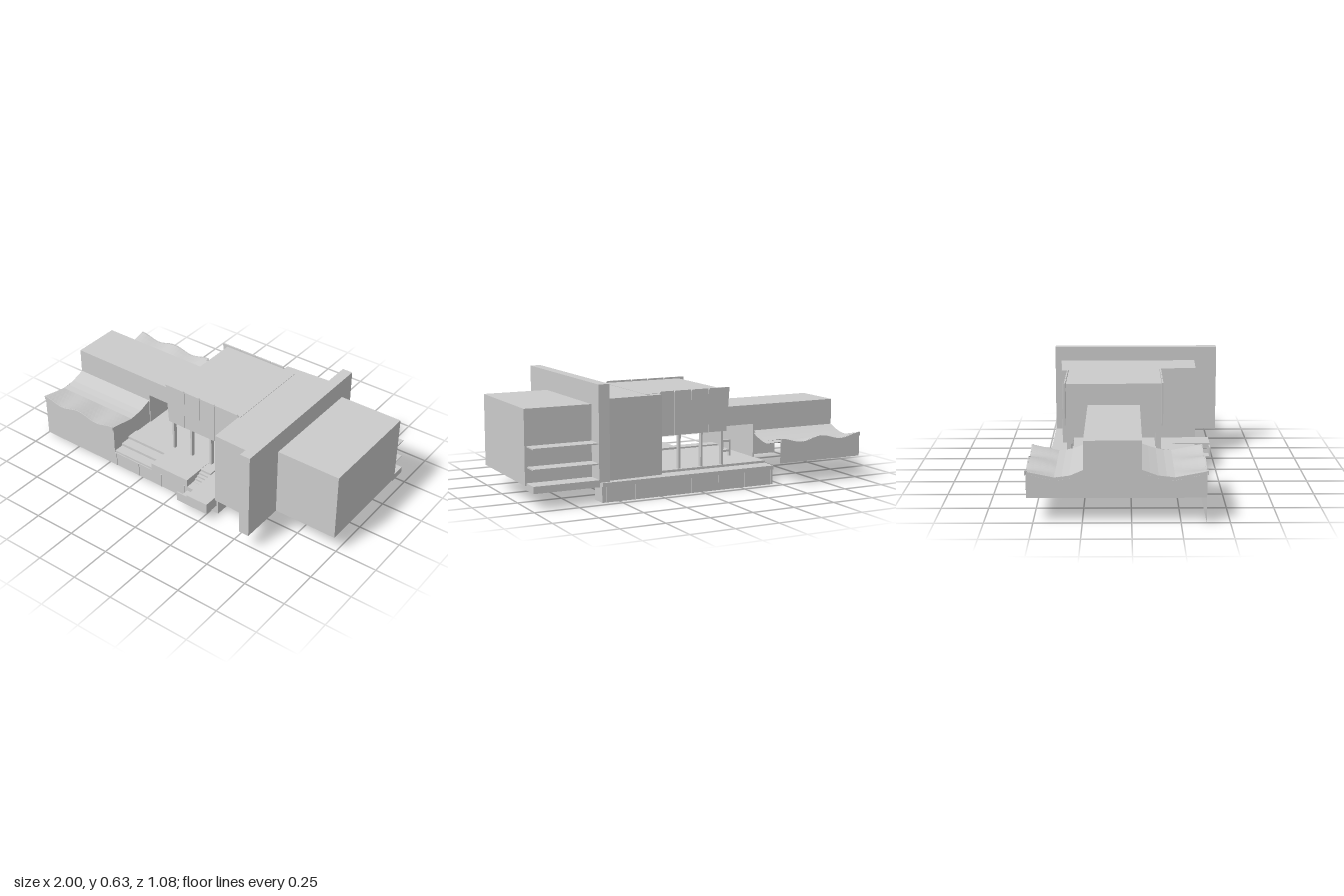
import * as THREE from 'three';

const mat = new THREE.MeshStandardMaterial({ color: 0xcccccc, flatShading: true, side: THREE.DoubleSide });

export function createModel() {
  const model = new THREE.Group();
  const add = (name, geo) => {
    const mesh = new THREE.Mesh(geo, mat);
    mesh.name = name;
    model.add(mesh);
    return mesh;
  };
  // Box given by its lower and upper limits on each axis
  const box = (name, x0, x1, y0, y1, z0, z1) => {
    const mesh = add(name, new THREE.BoxGeometry(x1 - x0, y1 - y0, z1 - z0));
    mesh.position.set((x0 + x1) / 2, (y0 + y1) / 2, (z0 + z1) / 2);
    return mesh;
  };
  // Box without its underside
  const shell = (name, ...limits) => {
    const mesh = box(name, ...limits);
    const index = Array.from(mesh.geometry.index.array);
    index.splice(18, 6);
    mesh.geometry.setIndex(index);
  };
  // Plan outline of [x, z] points raised from y0 to y1
  const raise = (name, points, y0, y1) => {
    const shape = new THREE.Shape(points.map(([x, z]) => new THREE.Vector2(x, -z)));
    const geo = new THREE.ExtrudeGeometry(shape, { depth: y1 - y0, bevelEnabled: false });
    geo.rotateX(-Math.PI / 2);
    geo.translate(0, y0, 0);
    return add(name, geo);
  };

  // Basement and raised ground floor
  raise('basement', [[-0.46, -0.455], [0.6, -0.455], [0.6, -0.36], [0.55, -0.28], [0.52, -0.19], [0.47, -0.08],
    [0.43, 0.03], [0.3, 0.1], [0.3, 0.38], [-0.46, 0.38]], 0.003, 0.09);
  box('groundFloor', -0.46, 0.3, 0.09, 0.125, -0.37, 0.18);
  box('backTerrace', -0.46, 0.6, 0.09, 0.112, -0.465, -0.36);
  box('frontTerrace', -0.18, 0.08, 0.09, 0.137, 0.18, 0.38);
  for (let i = 0; i < 3; i++) box('terraceStep', -0.46, -0.18, 0.09, 0.102 + i * 0.016, 0.18, 0.375 - i * 0.06);
  for (let i = 0; i <= 6; i++) {
    const x = -0.455 + i * 0.17;
    box('basementBackPier', x, x + 0.01, 0.005, 0.11, -0.46, -0.45);
    if (x < 0.1) box('basementFrontPier', x, x + 0.01, 0.005, 0.09, 0.375, 0.384);
  }

  // Entrance platform with a short flight of steps down to a landing
  box('entrancePlatform', 0.15, 0.29, 0.1, 0.125, 0.18, 0.475);
  box('platformFront', 0.08, 0.29, 0.058, 0.115, 0.468, 0.475);
  box('platformSide', 0.283, 0.29, 0.058, 0.115, 0.38, 0.475);
  box('stairHead', 0.08, 0.15, 0.09, 0.135, 0.18, 0.25);
  box('landing', 0.08, 0.15, 0.056, 0.064, 0.358, 0.47);
  for (let i = 0; i < 6; i++) box('entranceStep', 0.08, 0.15, 0.056, 0.122 - i * 0.01, 0.25 + i * 0.018, 0.268 + i * 0.018);

  // Central hall, raised on posts
  box('hall', -0.185, 0.3, 0.32, 0.555, -0.365, 0.175);
  raise('hallWing', [[0.29, 0.395], [0.56, 0.402], [0.56, -0.425], [0.22, -0.405], [0.22, -0.36], [0.29, -0.36]], 0.105, 0.553);
  for (const z of [-0.35, 0.16])
    for (const x of [-0.18, -0.05, 0.09, 0.22]) box('hallPost', x - 0.006, x + 0.006, 0.12, 0.33, z - 0.012, z + 0.012);

  // Hanging facade panels, the end one slightly flared
  const facade = (z, right) => {
    const edges = [-0.22, -0.085, 0.025, 0.13, right];
    for (let i = 0; i < 4; i++) {
      const x0 = edges[i] + 0.001, x1 = edges[i + 1] - 0.001;
      const low = i === 0 ? x0 + 0.018 : x0;
      const s = new THREE.Shape([[low, 0.318], [x1, 0.318], [x1, 0.555], [x1 - 0.008, 0.565], [x0, 0.565]]
        .map(p => new THREE.Vector2(...p)));
      const geo = new THREE.ExtrudeGeometry(s, { depth: 0.008, bevelEnabled: false });
      add('facadePanel', geo).position.z = z;
    }
  };
  facade(0.176, 0.29);
  facade(-0.374, 0.22);

  // Tall dividing slab and the overhanging end block
  box('dividingSlab', 0.557, 0.619, 0.115, 0.637, -0.462, 0.538);
  shell('endBlock', 0.617, 0.998, 0.116, 0.522, -0.365, 0.275);
  box('endBlockFloor', 0.3, 0.78, 0.112, 0.12, -0.365, 0.27);
  box('balcony', 0.617, 0.99, 0.092, 0.13, -0.465, -0.36);
  for (const y of [0.21, 0.319]) box('balcony', 0.617, 0.985, y, y + 0.007, -0.455, -0.36);

  // Long low gallery: bridge over the court, open-bottomed beyond it
  box('galleryBridge', -0.46, -0.18, 0.32, 0.432, -0.243, 0.052);
  shell('gallery', -1, -0.46, 0.27, 0.432, -0.243, 0.052);
  box('galleryCourtWall', -0.465, -0.455, 0.09, 0.325, -0.243, 0.052);

  // Side wings: roof with a straight valley and a waved outer edge
  const n = 24;
  const wave = x => 0.263 + 0.013 * Math.cos((x + 1) / 0.27 * Math.PI * 2);
  const xs = Array.from({ length: n + 1 }, (_, i) => -1 + 0.54 * i / n);
  // Flat shape from a lower edge rule up to the waved edge
  const waveBand = yLow => new THREE.Shape([
    ...xs.map(x => new THREE.Vector2(x, yLow(x))),
    ...xs.map(x => new THREE.Vector2(x, wave(x))).reverse(),
  ]);
  const wing = (name, zIn, zOut, yBottom) => {
    const roof = new THREE.PlaneGeometry(1, 1, n, 8);
    const p = roof.attributes.position;
    const side = Math.sign(zOut);
    for (let i = 0; i < p.count; i++) {
      const x = -1 + (p.getX(i) + 0.5) * 0.54;
      const t = p.getY(i) + 0.5;
      const y = t < 0.5 ? 0.282 - 0.04 * Math.sin(t * Math.PI)
        : THREE.MathUtils.lerp(0.242, wave(x), (t - 0.5) * 2);
      p.setXYZ(i, x, y, THREE.MathUtils.lerp(zIn, zOut, t));
    }
    roof.computeVertexNormals();
    add(name + 'Roof', roof);
    add(name + 'RoofUnderside', roof.clone().translate(0, -0.016, 0));
    // Outer wall set just behind the waved fascia
    add(name + 'Wall', new THREE.ShapeGeometry(waveBand(() => yBottom))).position.z = zOut - side * 0.008;
    const fascia = new THREE.ExtrudeGeometry(waveBand(x => wave(x) - 0.022), { depth: 0.006, bevelEnabled: false });
    add(name + 'Fascia', fascia).position.z = zOut - (side > 0 ? 0.006 : 0);
  };
  wing('frontWing', 0.05, 0.388, 0.003);
  wing('backWing', -0.24, -0.54, 0.135);

  // End walls follow the section of the wings
  const endWall = (name, x, pts) => {
    const s = new THREE.Shape(pts.map(([z, y]) => new THREE.Vector2(-z, y)));
    const geo = new THREE.ShapeGeometry(s);
    geo.rotateY(Math.PI / 2);
    add(name, geo).position.x = x;
  };
  const frontSection = [[0.05, 0.282], [0.13, 0.252], [0.219, 0.242], [0.38, 0.272]];
  const backSection = [[-0.532, 0.272], [-0.39, 0.242], [-0.31, 0.252], [-0.24, 0.282]];
  endWall('outerEndWall', -0.999, [[-0.532, 0.135], ...backSection, ...frontSection, [0.38, 0.135]]);
  endWall('frontWingInnerWall', -0.46, [...frontSection, [0.38, 0.003], [0.05, 0.003]]);

  // Small open frame standing in the court
  for (const x of [-0.36, -0.31]) box('courtFrame', x, x + 0.012, 0.125, 0.217, -0.15, -0.135);
  for (const y of [0.15, 0.208]) box('courtFrame', -0.36, -0.298, y, y + 0.012, -0.15, -0.135);

  return model;
}
